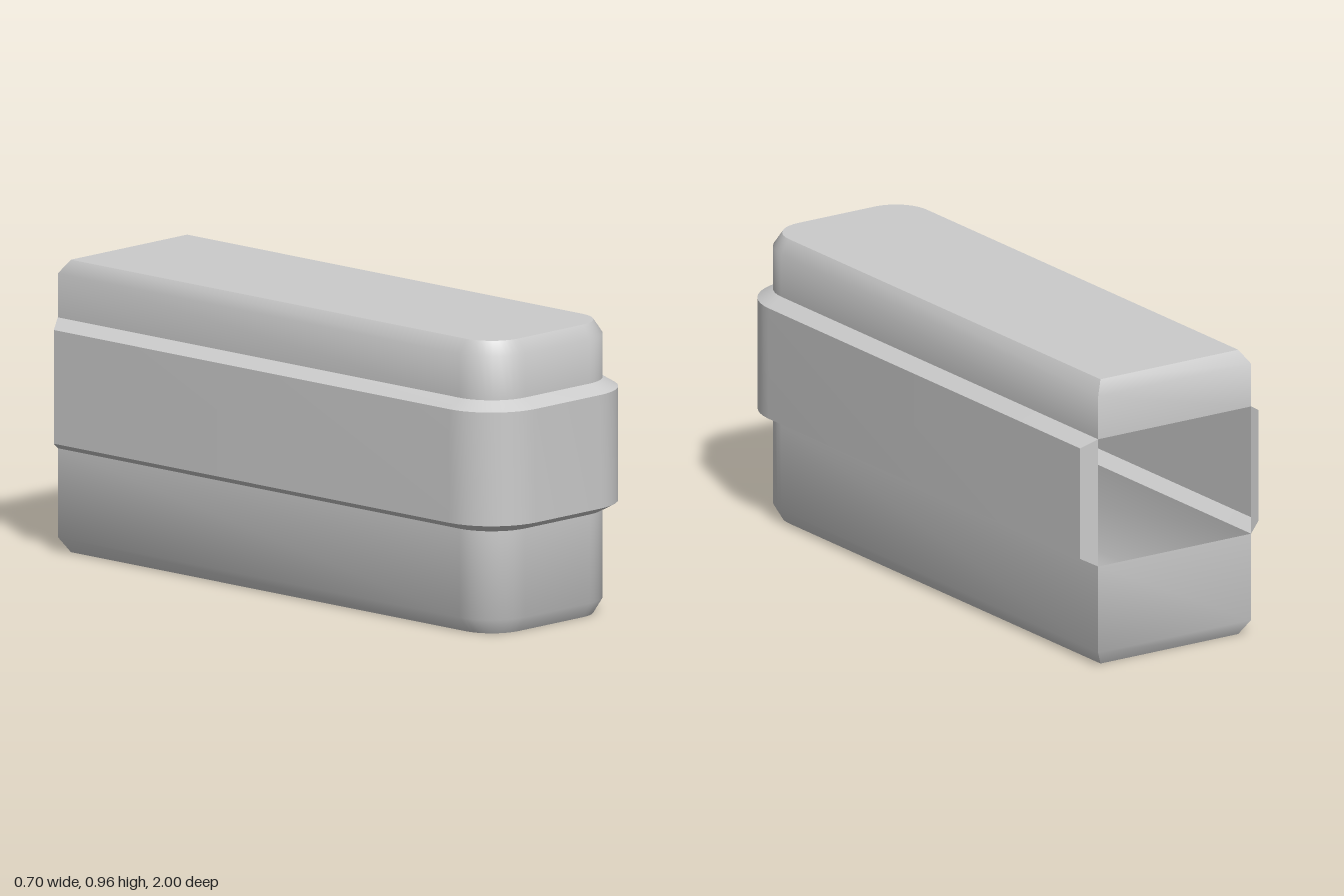
import * as THREE from 'three';
import { toCreasedNormals } from 'three/addons/utils/BufferGeometryUtils.js';

const CX = 0.15, CZ = 0.8;   // centre of the front corner arcs
const CORE = 0.15;           // corner radius of the core
const STEPS = 10;

// U-shaped outline at height y: right back corner, round the front, left back corner
function ring(r, y, band = false) {
  const back = -1 + (band ? Math.max(0, r - CORE) * 0.6 : CORE - r);
  const half = [];
  if (band) half.push([CX + CORE, -1]);
  half.push([CX + r, back]);
  for (let i = 0; i <= STEPS; i++) {
    const a = (i / STEPS) * Math.PI / 2;
    half.push([CX + r * Math.cos(a), CZ + r * Math.sin(a)]);
  }
  const mirrored = half.map(([x, z]) => [-x, z]).reverse();
  return [...half, ...mirrored].map(([x, z]) => new THREE.Vector3(x, y, z));
}

// Skin a stack of rings, optionally with a back wall and end caps
function loft(rings, { backWall = false, top = false, bottom = false }) {
  const points = [];
  const area = new THREE.Triangle();
  const tri = (a, b, c) => {
    if (area.set(a, b, c).getArea() > 1e-8) points.push(a, b, c);
  };
  const n = rings[0].length;
  for (let i = 0; i < rings.length - 1; i++) {
    const lo = rings[i], hi = rings[i + 1];
    for (let j = 0; j < (backWall ? n : n - 1); j++) {
      const k = (j + 1) % n;
      tri(lo[j], hi[j], hi[k]);
      tri(lo[j], hi[k], lo[k]);
    }
  }
  const first = rings[0], last = rings[rings.length - 1];
  for (let j = 1; j < n - 1; j++) {
    if (bottom) tri(first[0], first[j], first[j + 1]);
    if (top) tri(last[0], last[j + 1], last[j]);
  }
  const geometry = new THREE.BufferGeometry().setFromPoints(points);
  return toCreasedNormals(geometry, THREE.MathUtils.degToRad(40));
}

export function createModel() {
  const model = new THREE.Group();
  model.name = 'steppedHousing';
  const material = new THREE.MeshStandardMaterial({ color: 0xcccccc, side: THREE.DoubleSide });
  const add = (name, rings, options) => {
    const mesh = new THREE.Mesh(loft(rings, options), material);
    mesh.name = name;
    model.add(mesh);
  };

  // Lower body, chamfered at the foot and open towards the hollow middle
  add('lowerBody', [ring(0.12, 0), ring(CORE, 0.05), ring(CORE, 0.343)],
    { backWall: true, bottom: true });

  // Wider middle band with chamfered edges and an open back
  add('middleBand', [
    ring(CORE, 0.343, true), ring(0.2, 0.37, true),
    ring(0.2, 0.745, true), ring(CORE, 0.775, true),
  ], {});

  // Upper body, chamfered at the lid
  add('upperBody', [ring(CORE, 0.775), ring(CORE, 0.92), ring(0.12, 0.965)],
    { backWall: true, top: true });

  return model;
}
